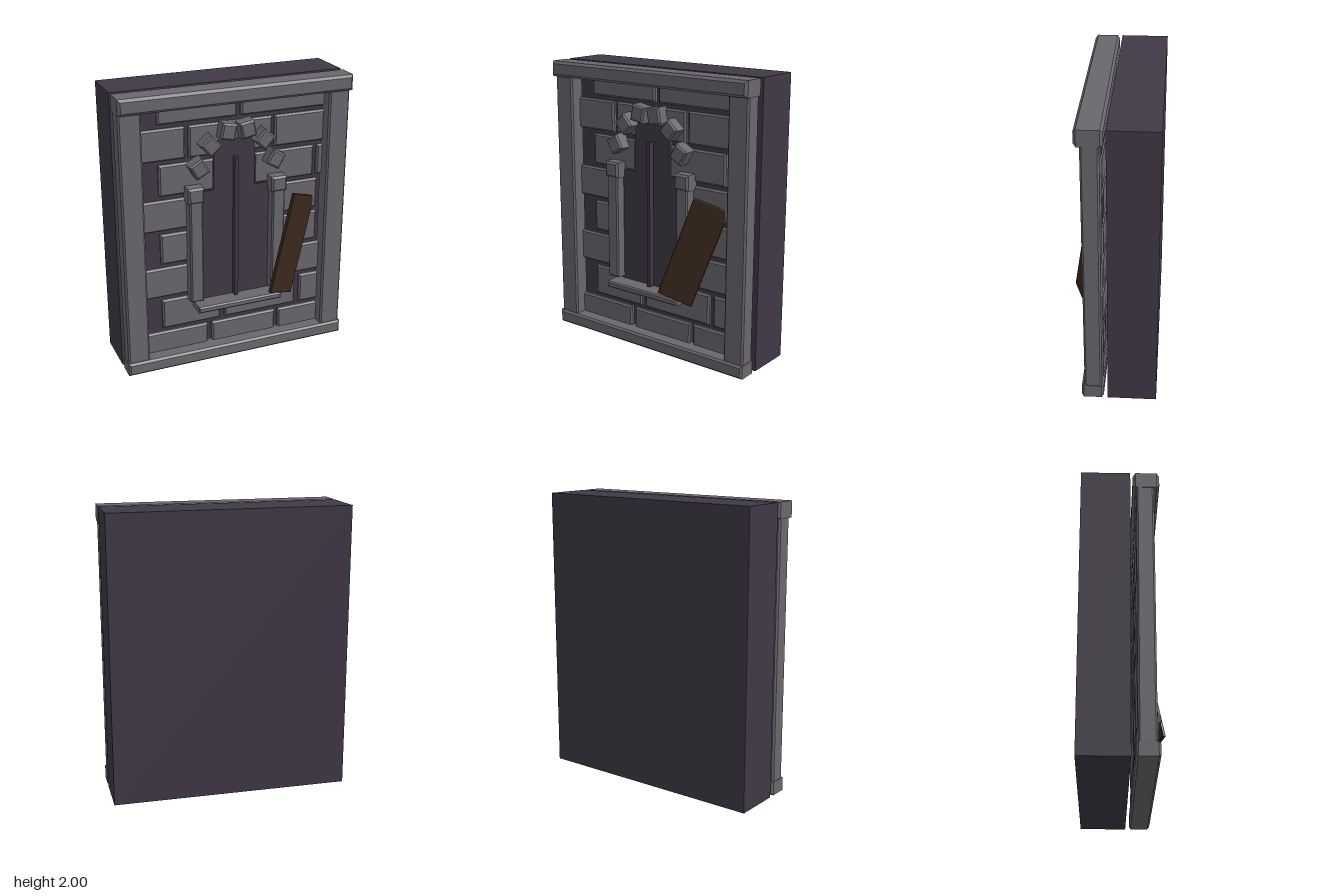
import * as THREE from 'three';

const stone = new THREE.MeshStandardMaterial({ color: 0x6a676d });
stone.name = 'greyStone';
const dark = new THREE.MeshStandardMaterial({ color: 0x403846 });
dark.name = 'darkPurple';
const wood = new THREE.MeshStandardMaterial({ color: 0x3a281c });
wood.name = 'darkWood';

// Block with chamfered edges, centred on its own origin
function chamferBox(w, h, d, b) {
  const s = new THREE.Shape([
    new THREE.Vector2(-w / 2, -h / 2), new THREE.Vector2(w / 2, -h / 2),
    new THREE.Vector2(w / 2, h / 2), new THREE.Vector2(-w / 2, h / 2),
  ]);
  const g = new THREE.ExtrudeGeometry(s, {
    depth: d - 2 * b, bevelEnabled: true, bevelThickness: b, bevelSize: b, bevelOffset: -b, bevelSegments: 1,
  });
  return g.translate(0, 0, b - d / 2);
}

export function createModel() {
  const model = new THREE.Group();
  model.name = 'ruinedWallWindow';

  const add = (name, geometry, material, x, y, z) => {
    const mesh = new THREE.Mesh(geometry, material);
    mesh.name = name;
    mesh.position.set(x, y, z);
    model.add(mesh);
    return mesh;
  };
  // Chamfered block given by its limits
  const block = (name, x0, x1, y0, y1, z0, z1, b, material = stone) =>
    add(name, chamferBox(x1 - x0, y1 - y0, z1 - z0, b), material, (x0 + x1) / 2, (y0 + y1) / 2, (z0 + z1) / 2);

  // Solid wall behind
  add('wallCore', new THREE.BoxGeometry(1.66, 2, 0.33), dark, 0, 1, -0.145);

  // Outer frame
  block('topBeam', -0.83, 0.83, 1.89, 2, 0.037, 0.215, 0.018);
  block('bottomBeam', -0.83, 0.83, 0, 0.095, 0.047, 0.197, 0.014);
  block('rightPost', -0.825, -0.67, 0.04, 1.95, 0.06, 0.178, 0.012);
  block('leftPost', 0.67, 0.825, 0.04, 1.95, 0.06, 0.178, 0.012);

  // Brick courses from the bottom up: [left end, right end] of each brick
  const courses = [
    [[-0.72, -0.2], [-0.17, 0.33], [0.355, 0.72]],
    [[-0.54, -0.105], [-0.07, 0.49], [0.525, 0.72]],
    [[-0.72, -0.27], [0.27, 0.72]],
    [[-0.54, -0.27], [0.27, 0.645]],
    [[-0.72, -0.27], [0.27, 0.64]],
    [[-0.54, -0.148], [0.148, 0.605], [0.63, 0.72]],
    [[-0.72, -0.35], [-0.325, 0.28], [0.3, 0.68]],
    [[-0.54, 0.02], [0.05, 0.72]],
  ];
  courses.forEach((bricks, row) => {
    const y = 0.02 + row * 0.25;
    bricks.forEach(([x0, x1]) => block('brick', x0, x1, y, y + 0.222, 0.055, 0.097, 0.012));
  });

  // Dark opening: wide below, narrow with clipped corners above
  const half = [[0.27, 0.45], [0.27, 1.27], [0.15, 1.27], [0.15, 1.585], [0.12, 1.62]];
  const outline = [...half, ...half.map(([x, y]) => [-x, y]).reverse()];
  const panel = new THREE.Shape(outline.map(([x, y]) => new THREE.Vector2(x, y)));
  add('openingPanel', new THREE.ExtrudeGeometry(panel, { depth: 0.043, bevelEnabled: false }), dark, 0, 0, 0.06);
  add('centreBar', new THREE.BoxGeometry(0.026, 1.05, 0.045), dark, 0, 0.975, 0.1225);

  // Jambs, capitals and arch stones on both sides
  for (const s of [-1, 1]) {
    const jamb = chamferBox(0.095, 0.78, 0.1, 0.01);
    add('jamb', jamb, stone, s * 0.305, 0.865, 0.125);
    add('capital', chamferBox(0.115, 0.11, 0.115, 0.014), stone, s * 0.306, 1.272, 0.125);
    for (const [x, y, deg] of [[0.278, 1.458, 30], [0.195, 1.61, 42], [0.07, 1.693, -11]]) {
      const archStone = add('archStone', chamferBox(0.106, 0.113, 0.11, 0.012), stone, s * x, y, 0.128);
      archStone.rotation.z = -s * THREE.MathUtils.degToRad(deg);
    }
  }

  // Projecting sill
  block('sill', -0.315, 0.312, 0.41, 0.456, 0.06, 0.233, 0.01);

  // Loose board leaning against the wall
  const board = add('looseBoard', chamferBox(0.25, 0.727, 0.025, 0.004), wood, 0.41, 0.803, 0.179);
  board.rotation.order = 'YXZ';
  board.rotation.set(0, 0.45, -0.345);

  return model;
}
